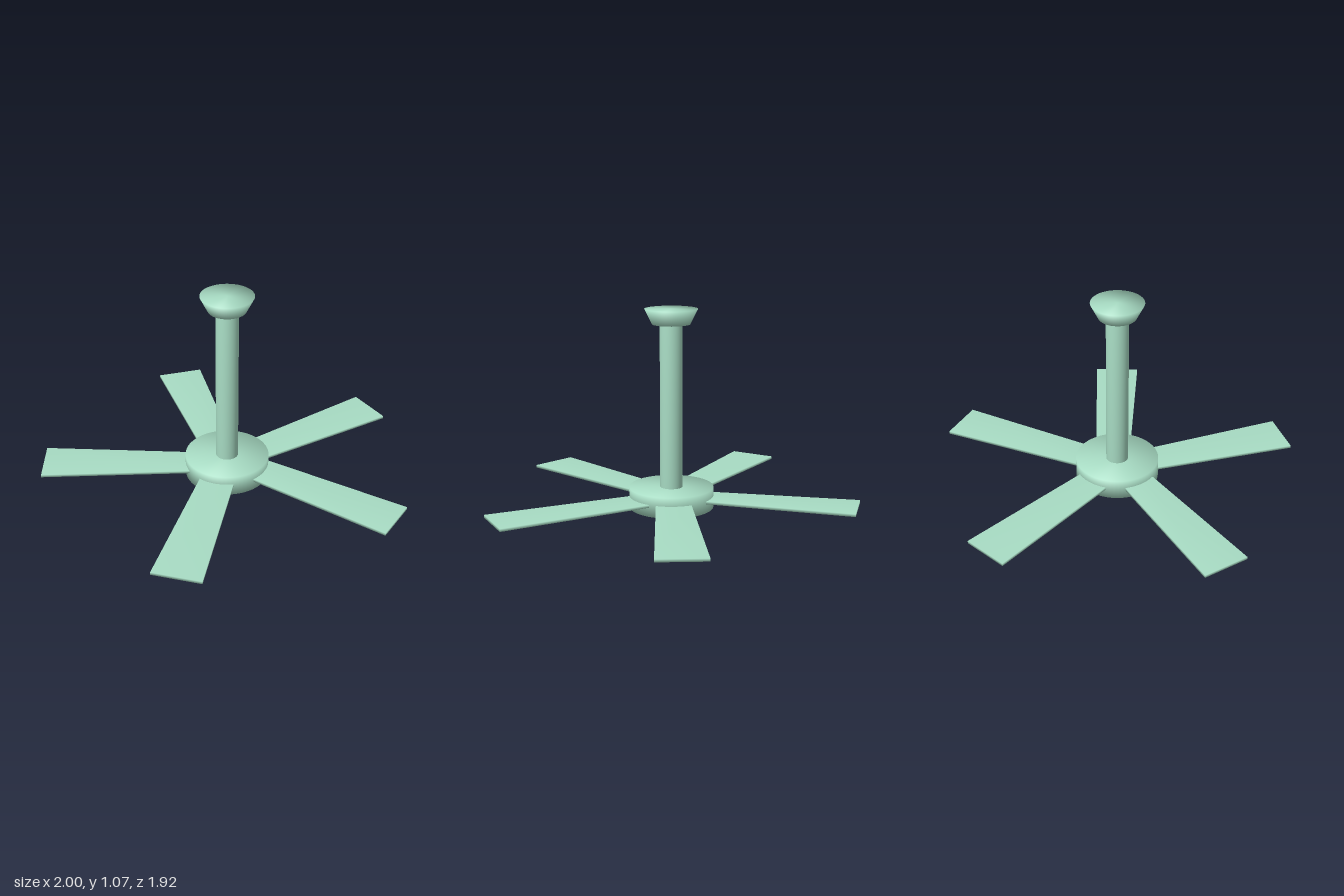
import * as THREE from 'three';
import { mergeVertices } from 'three/addons/utils/BufferGeometryUtils.js';

const material = new THREE.MeshStandardMaterial({ color: 0xa8dcc4 });
const AXIS_Z = 0.03; // the pole stands slightly forward of the middle

// Share vertices across all edges so the shading is soft throughout
function soften(geometry) {
  geometry.deleteAttribute('normal');
  geometry.deleteAttribute('uv');
  const merged = mergeVertices(geometry, 1e-4);
  merged.computeVertexNormals();
  return merged;
}

function part(name, geometry) {
  const mesh = new THREE.Mesh(soften(geometry), material);
  mesh.name = name;
  return mesh;
}

// Upright round part between two heights
function round(name, rTop, rBottom, y0, y1) {
  const mesh = part(name, new THREE.CylinderGeometry(rTop, rBottom, y1 - y0, 64));
  mesh.position.set(0, (y0 + y1) / 2, AXIS_Z);
  return mesh;
}

// Flat tapered blade: two tip corners, then the two corners where it meets the hub (x, z)
function blade(name, [ax, az, bx, bz, cx, cz, dx, dz]) {
  const inward = 1.12; // carry the root on into the hub
  const geometry = new THREE.BoxGeometry(1, 0.015, 1);
  const p = geometry.attributes.position;
  for (let i = 0; i < p.count; i++) {
    const t = p.getZ(i) < 0 ? 0 : inward;
    const [tx, tz, rx, rz] = p.getX(i) < 0 ? [ax, az, dx, dz] : [bx, bz, cx, cz];
    p.setXYZ(i, tx + (rx - tx) * t, p.getY(i) + 0.057, tz + (rz - tz) * t);
  }
  return part(name, geometry);
}

export function createModel() {
  const model = new THREE.Group();
  model.name = 'ceilingFan';

  // Motor hub, down rod and flared ceiling mount
  model.add(
    round('hub', 0.226, 0.226, 0, 0.11),
    round('downRod', 0.06, 0.06, 0.1, 0.99),
    round('ceilingMount', 0.14, 0.1, 0.985, 1.065),
  );

  // Five slightly uneven blades; corners run clockwise seen from above
  const blades = new THREE.Group();
  blades.name = 'blades';
  const corners = [
    [-0.16, -0.96, 0.095, -0.965, 0.08, -0.197, -0.104, -0.18],
    [0.918, -0.407, 0.995, -0.165, 0.22, 0.053, 0.165, -0.125],
    [0.784, 0.677, 0.596, 0.848, 0.088, 0.235, 0.222, 0.096],
    [-0.372, 0.96, -0.596, 0.83, -0.184, 0.155, -0.024, 0.25],
    [-1.0, -0.096, -0.935, -0.345, -0.195, -0.105, -0.22, 0.075],
  ];
  corners.forEach((c, i) => blades.add(blade(`blade${i + 1}`, c)));
  model.add(blades);
  return model;
}
